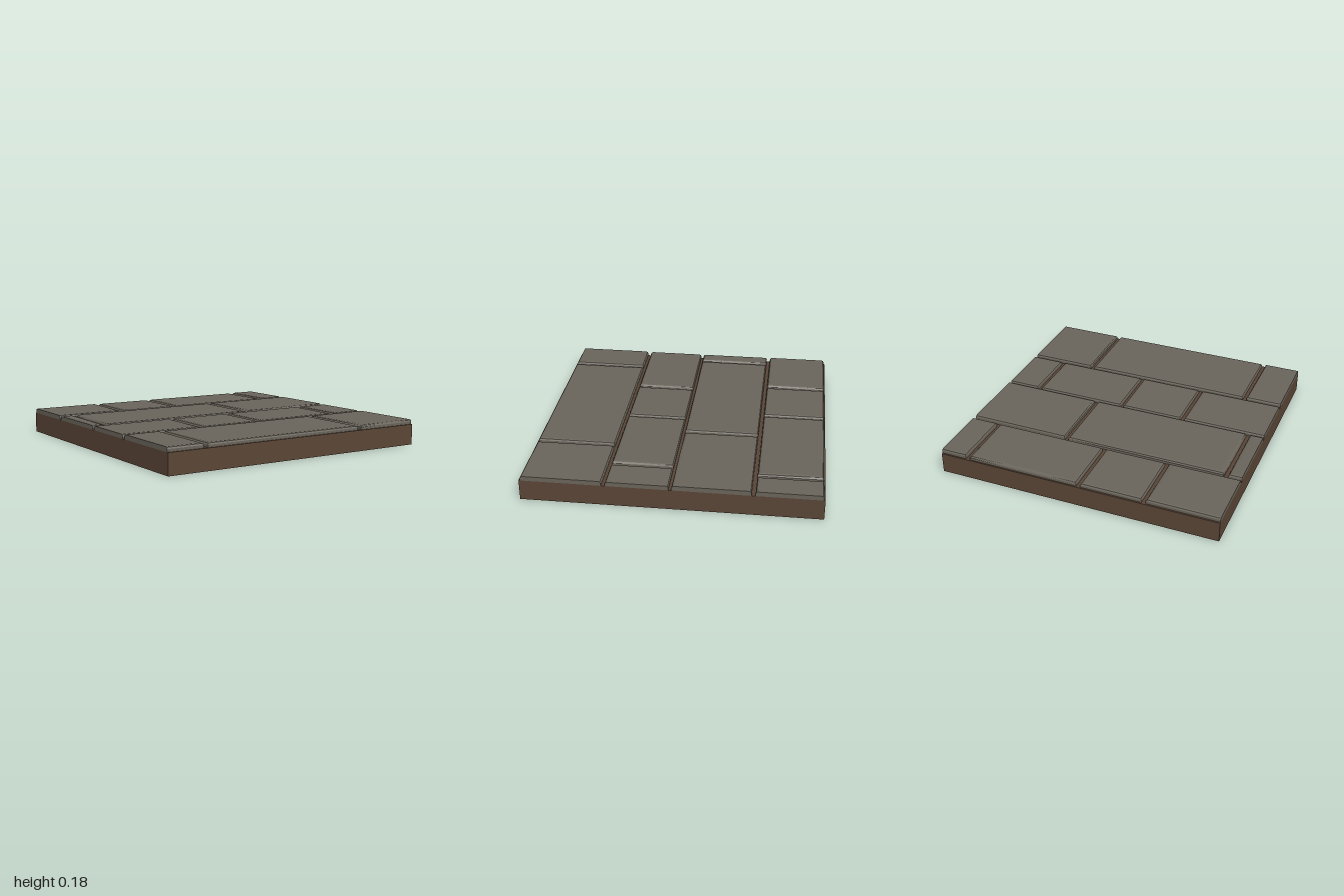
import * as THREE from 'three';

const BASE_TOP = 0.145;

// Paving rows: z range, then stones as [x0, x1, top height, chipped corner]
// Corners: 0 front left, 1 front right, 2 back right, 3 back left
const ROWS = [
  { z: [-0.99, -0.555], stones: [[-1, -0.5, 0.177, 1], [-0.47, -0.04, 0.175], [-0.01, 0.785, 0.176, 2], [0.815, 1, 0.177]] },
  { z: [-0.53, -0.012], stones: [[-1, -0.905, 0.175, 1], [-0.875, 0.26, 0.177, 3], [0.29, 1, 0.178, 0]] },
  { z: [0.008, 0.425], stones: [[-1, -0.405, 0.175, 1], [-0.375, 0.07, 0.174], [0.095, 0.74, 0.175, 1], [0.77, 1, 0.175]] },
  { z: [0.45, 0.99], stones: [[-1, -0.74, 0.178], [-0.71, 0.5, 0.176], [0.53, 1, 0.177, 0]] },
];

// Stone with a two-step worn bevel; sides on the slab border are cut flat
function stoneGeometry(x0, x1, z0, z1, top, chip) {
  const ring = (inset, y, chipSize) => {
    const l = x0 <= -1 ? x0 : x0 + inset;
    const r = x1 >= 1 ? x1 : x1 - inset;
    const f = z1 - inset, b = z0 + inset;
    const pts = [[l, y, f], [r, y, f], [r, y, b], [l, y, b]];
    if (chip !== undefined) {
      pts[chip][0] += (chip === 0 || chip === 3 ? 1 : -1) * chipSize;
      pts[chip][2] += (chip < 2 ? -1 : 1) * chipSize * 0.4;
    }
    return pts;
  };
  const rings = [
    ring(0, BASE_TOP, 0),
    ring(0, top - 0.014, 0),
    ring(0.006, top - 0.004, 0.004),
    ring(0.016, top, 0.014),
  ];
  const pos = [];
  const quad = (a, b, c, d) => pos.push(...a, ...b, ...c, ...a, ...c, ...d);
  for (let k = 0; k < rings.length - 1; k++) {
    for (let i = 0; i < 4; i++) {
      const j = (i + 1) % 4;
      quad(rings[k][i], rings[k][j], rings[k + 1][j], rings[k + 1][i]);
    }
  }
  quad(...rings[rings.length - 1]);
  const g = new THREE.BufferGeometry();
  g.setAttribute('position', new THREE.Float32BufferAttribute(pos, 3));
  g.computeVertexNormals();
  return g;
}

export function createModel() {
  const model = new THREE.Group();
  model.name = 'pavedFloorTile';

  const earth = new THREE.MeshStandardMaterial({ color: 0x5a4536 });
  earth.name = 'earthBrown';
  const stone = new THREE.MeshStandardMaterial({ color: 0x69645a });
  stone.name = 'stoneGrey';

  // Ground slab
  const slab = new THREE.Mesh(new THREE.BoxGeometry(2, BASE_TOP, 2), earth);
  slab.name = 'baseSlab';
  slab.position.y = BASE_TOP / 2;
  model.add(slab);

  // Paving stones
  ROWS.forEach((row, r) => {
    const group = new THREE.Group();
    group.name = `stoneRow${r + 1}`;
    row.stones.forEach(([x0, x1, top, chip], i) => {
      const mesh = new THREE.Mesh(stoneGeometry(x0, x1, row.z[0], row.z[1], top, chip), stone);
      mesh.name = `pavingStone${r + 1}_${i + 1}`;
      group.add(mesh);
    });
    model.add(group);
  });

  return model;
}
